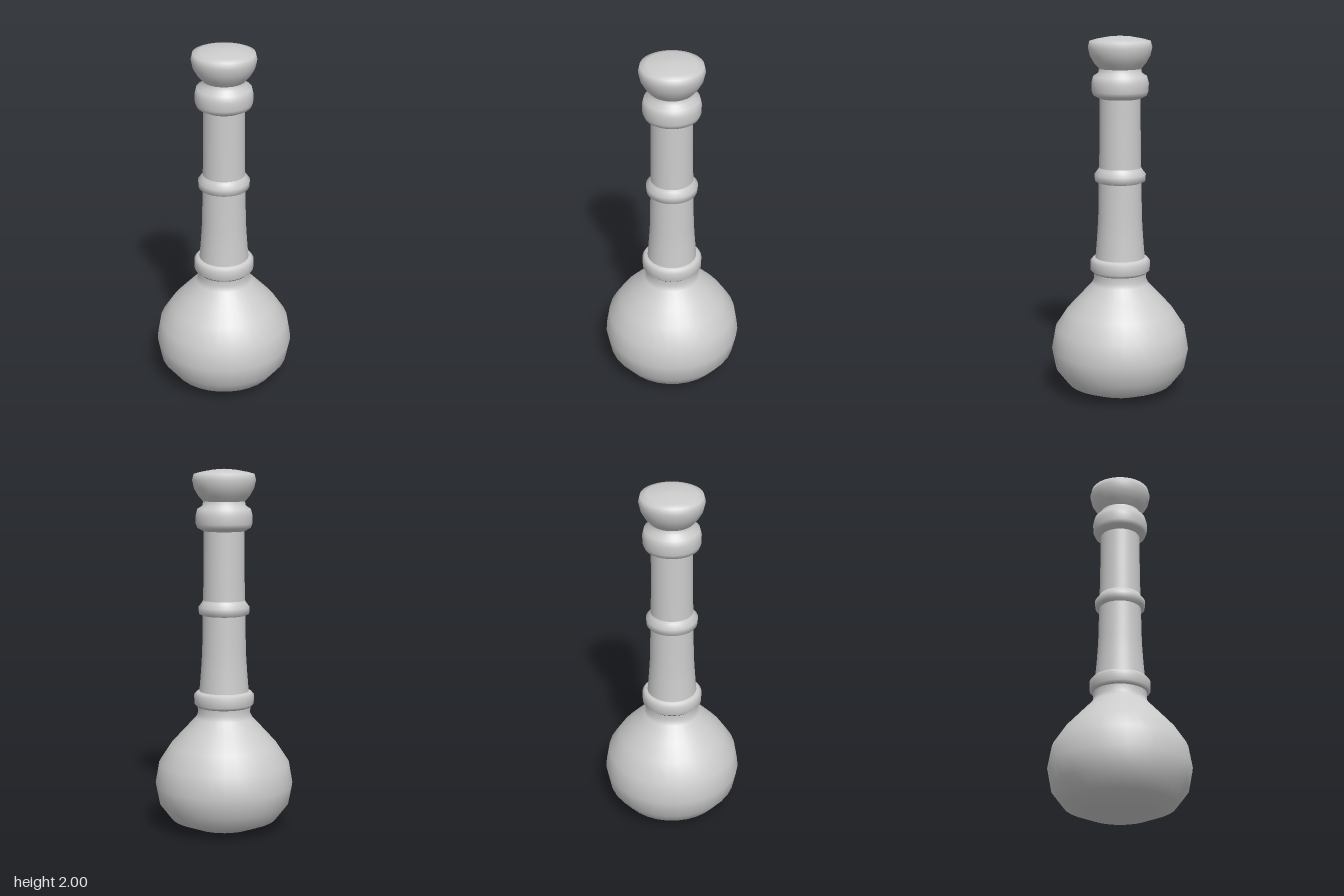
import * as THREE from 'three';

const grey = new THREE.MeshStandardMaterial({ color: 0xcccccc });
grey.name = 'light grey';

// Turned part from a bottom-to-top list of [radius, height]
function turned(name, profile, sides) {
  const points = profile.map(([r, y]) => new THREE.Vector2(r, y));
  const mesh = new THREE.Mesh(new THREE.LatheGeometry(points, sides), grey);
  mesh.name = name;
  return mesh;
}

export function createModel() {
  const model = new THREE.Group();
  model.name = 'bottle';
  model.add(
    // Round belly drawn in towards the neck
    turned('belly', [
      [0, 0.005], [0.18, 0.017], [0.298, 0.065], [0.363, 0.15], [0.384, 0.26],
      [0.363, 0.38], [0.298, 0.48], [0.225, 0.56], [0.157, 0.633], [0.145, 0.66], [0.147, 0.695],
    ], 32),
    // Ring at the foot of the neck
    turned('lowerRing', [
      [0.14, 0.692], [0.152, 0.7], [0.165, 0.712], [0.166, 0.762], [0.152, 0.778], [0.13, 0.785],
    ], 64),
    // Tapered neck
    turned('neck', [
      [0.137, 0.78], [0.128, 0.89], [0.121, 1.0], [0.117, 1.21], [0.113, 1.4], [0.111, 1.68],
    ], 64),
    // Ring halfway up the neck
    turned('middleRing', [
      [0.113, 1.203], [0.138, 1.213], [0.141, 1.25], [0.122, 1.275], [0.114, 1.29],
    ], 64),
    // Thick collar under the lip
    turned('collar', [
      [0.108, 1.663], [0.145, 1.682], [0.154, 1.705], [0.155, 1.75], [0.146, 1.785], [0.118, 1.803], [0.113, 1.83],
    ], 64),
    // Flared stopper with a low domed top
    turned('stopper', [
      [0.113, 1.825], [0.14, 1.855], [0.163, 1.895], [0.173, 1.94], [0.165, 1.973], [0.13, 1.983], [0.06, 1.996], [0, 2],
    ], 64),
  );
  return model;
}
